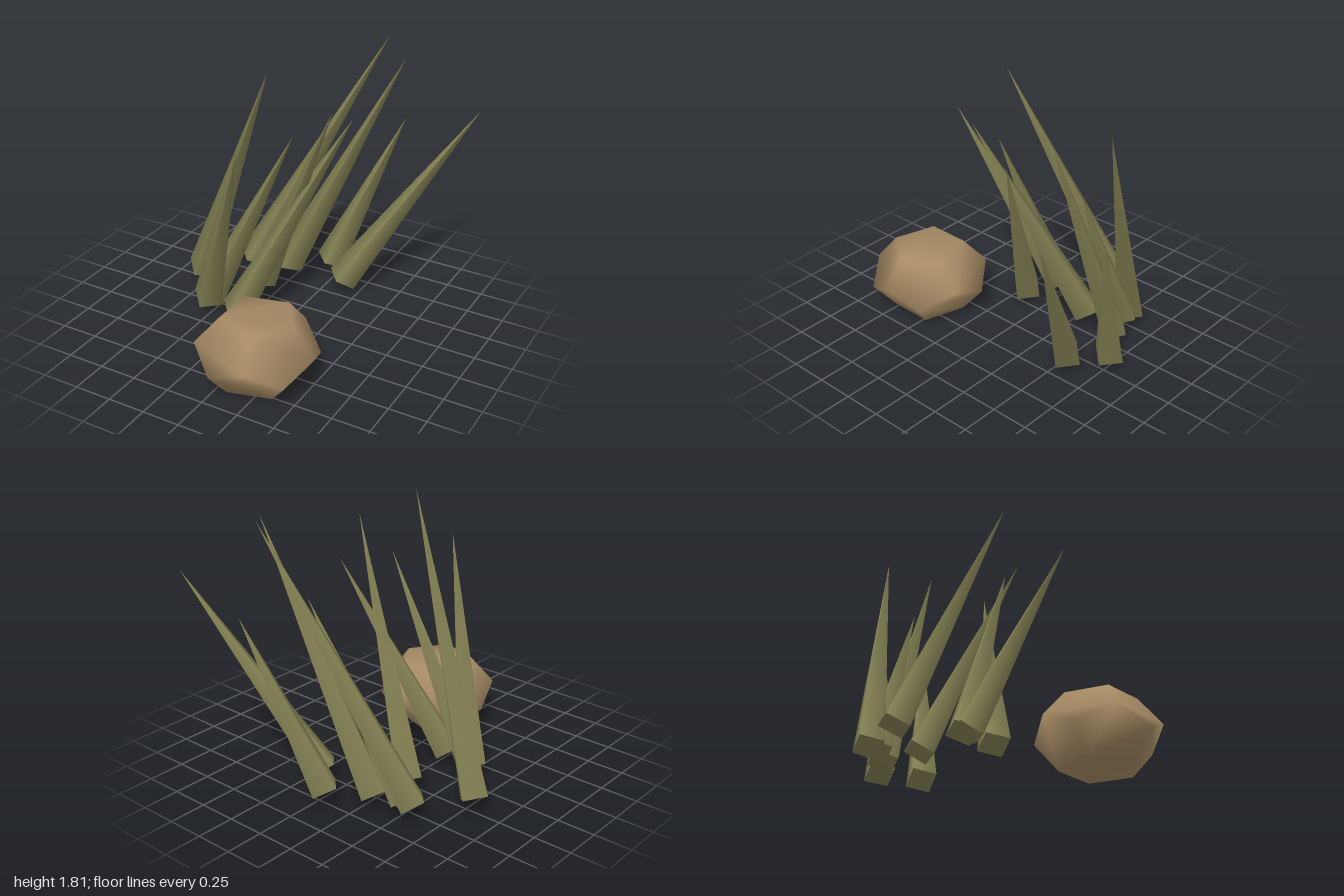
import * as THREE from 'three';
import { mergeVertices } from 'three/addons/utils/BufferGeometryUtils.js';

const grassOlive = new THREE.MeshStandardMaterial({ color: 0x858254 });
const stoneBrown = new THREE.MeshStandardMaterial({ color: 0xa68a64 });
grassOlive.name = 'grassOlive';
stoneBrown.name = 'stoneBrown';

const UP = new THREE.Vector3(0, 1, 0);

// Four-sided spike standing on the centre of its base and leaning to its tip
function makeBlade(base, tip) {
  const from = new THREE.Vector3(...base);
  const axis = new THREE.Vector3(...tip).sub(from);
  const height = axis.length();
  const geometry = new THREE.ConeGeometry(0.108, height, 4);
  geometry.translate(0, height / 2, 0);
  const blade = new THREE.Mesh(geometry, grassOlive);
  blade.quaternion.setFromUnitVectors(UP, axis.normalize());
  blade.position.copy(from);
  blade.name = 'grassBlade';
  return blade;
}

// Flattened twelve-faced stone lying on a face, with shared smooth normals
function makeRock() {
  let geometry = new THREE.DodecahedronGeometry(1);
  geometry.deleteAttribute('normal');
  geometry.deleteAttribute('uv');
  const faceNormal = new THREE.Vector3(0, (1 + Math.sqrt(5)) / 2, 1).normalize();
  geometry.applyQuaternion(new THREE.Quaternion().setFromUnitVectors(faceNormal, UP));
  geometry.rotateY(0.3);
  geometry.rotateZ(-0.04);
  geometry.scale(0.4, 0.285, 0.395);
  geometry = mergeVertices(geometry, 1e-4);
  geometry.computeVertexNormals();
  geometry.computeBoundingBox();
  const rock = new THREE.Mesh(geometry, stoneBrown);
  rock.position.set(0.17, -geometry.boundingBox.min.y, 0.62);
  rock.name = 'rock';
  return rock;
}

export function createModel() {
  const model = new THREE.Group();
  model.name = 'grassAndRock';

  // Base centre and tip of each blade
  const blades = [
    [[-0.80, 0.09, -0.235], [-0.05, 1.81, 0.11]],
    [[-0.355, 0.09, -0.315], [0.345, 1.60, 0.03]],
    [[-0.54, 0.09, 0.09], [-0.03, 1.43, 0.51]],
    [[-0.54, 0.09, 0.06], [0.09, 1.40, 0.05]],
    [[-0.29, 0.09, 0.14], [0.30, 1.36, -0.20]],
    [[-0.56, 0.09, -0.535], [0.26, 1.78, -0.93]],
    [[-0.30, 0.09, -0.59], [0.48, 1.73, -0.70]],
    [[-0.48, 0.09, -0.53], [0.15, 1.27, -0.65]],
    [[-0.05, 0.10, -0.755], [0.37, 1.19, -1.0]],
    [[0.14, 0.10, -0.56], [0.90, 1.36, -0.98]],
  ];
  const grass = new THREE.Group();
  grass.name = 'grassClumps';
  for (const [base, tip] of blades) grass.add(makeBlade(base, tip));

  model.add(grass, makeRock());
  return model;
}
